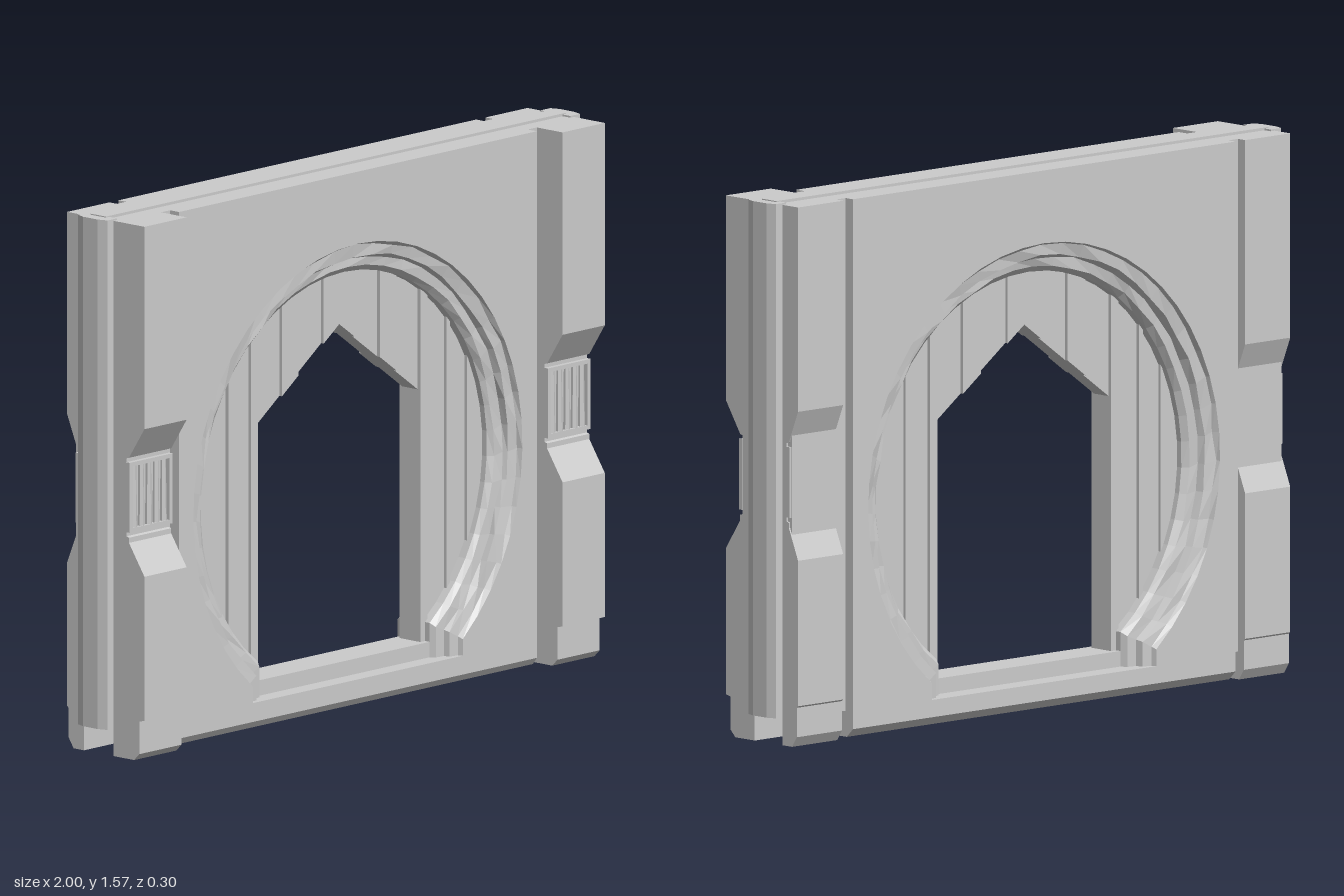
import * as THREE from 'three';

const TOP = 1.56, BASE = 0.08, CY = 0.66;

export function createModel() {
  const group = new THREE.Group();
  const mat = new THREE.MeshStandardMaterial({ color: 0xcccccc, flatShading: true });
  const openMat = new THREE.MeshStandardMaterial({ color: 0xcccccc, flatShading: true, side: THREE.DoubleSide });

  let seed = 7;
  const rand = () => (seed = (seed * 16807) % 2147483647) / 2147483647 - 0.5;

  const add = (name, geo, m = mat) => {
    const mesh = new THREE.Mesh(geo, m);
    mesh.name = name;
    group.add(mesh);
    return mesh;
  };
  const toShape = pts => new THREE.Shape(pts.map(p => new THREE.Vector2(p[0], p[1])));
  const box = (name, x0, x1, y0, y1, z0, z1) => add(name,
    new THREE.BoxGeometry(x1 - x0, y1 - y0, z1 - z0)
      .translate((x0 + x1) / 2, (y0 + y1) / 2, (z0 + z1) / 2));
  // outline in x, y, extruded from z0 to z1
  const slab = (name, pts, z0, z1) => add(name,
    new THREE.ExtrudeGeometry(toShape(pts), { depth: z1 - z0, bevelEnabled: false }).translate(0, 0, z0));
  // profile in z, y, extruded from x0 to x1
  const bar = (name, pts, x0, x1) => add(name,
    new THREE.ExtrudeGeometry(toShape(pts), { depth: x1 - x0, bevelEnabled: false })
      .rotateY(-Math.PI / 2).translate(x1, 0, 0));

  // round arch with short straight feet, running right foot to left foot
  const arch = (r, foot, n = 40) => {
    const a0 = -Math.acos(foot / r), pts = [[foot, BASE]];
    for (let i = 0; i <= n; i++) {
      const a = a0 + (Math.PI - 2 * a0) * i / n;
      pts.push([r * Math.cos(a), CY + r * Math.sin(a)]);
    }
    pts.push([-foot, BASE]);
    return pts;
  };
  const wall = (w, top, r, foot) =>
    [[w, BASE], [w, top], [-w, top], [-w, BASE], ...arch(r, foot).reverse()];

  // wall layers
  slab('wallCore', wall(0.965, TOP, 0.6, 0.36), -0.085, 0.03);
  slab('frontGrooveBed', wall(0.96, TOP, 0.69, 0.44), 0.03, 0.05);
  slab('backGrooveBed', wall(0.96, TOP, 0.69, 0.44), -0.12, -0.085);
  slab('frontPanel', wall(0.75, TOP, 0.69, 0.44), 0.05, 0.085);
  slab('backPanel', wall(0.75, TOP, 0.69, 0.44), -0.15, -0.12);
  bar('frontSkirt', [[0.03, 0.005], [0.07, 0.005], [0.085, 0.025], [0.085, BASE], [0.03, BASE]], -0.75, 0.75);
  bar('backSkirt', [[-0.085, 0.005], [-0.125, 0.005], [-0.15, 0.03], [-0.15, BASE], [-0.085, BASE]], -0.75, 0.75);
  box('topRidge', -0.965, 0.965, TOP - 0.01, 1.568, -0.06, 0);
  box('sill', -0.37, 0.37, BASE, 0.125, -0.085, 0.03);

  // stepped, chipped stone ring, lofted from the panel face in to the core
  const ring = (name, rows) => {
    const loops = rows.map(([r, foot, z], k) => arch(r, foot).map(([x, y], i, all) => {
      const chip = k > 0 && k < rows.length - 1 && i > 1 && i < all.length - 2;
      const s = 1 + (chip ? rand() * 0.014 : 0);
      return [x * s, CY + (y - CY) * (i === 0 || i === all.length - 1 ? 1 : s), z + (chip ? rand() * 0.008 : 0)];
    }));
    const pos = [];
    for (let k = 0; k + 1 < loops.length; k++) {
      for (let i = 0; i + 1 < loops[k].length; i++) {
        const a = loops[k][i], b = loops[k][i + 1], c = loops[k + 1][i + 1], d = loops[k + 1][i];
        pos.push(...a, ...b, ...c, ...a, ...c, ...d);
      }
    }
    const geo = new THREE.BufferGeometry();
    geo.setAttribute('position', new THREE.Float32BufferAttribute(pos, 3));
    geo.computeVertexNormals();
    add(name, geo, openMat);
  };
  ring('frontRing', [[0.69, 0.44, 0.085], [0.682, 0.435, 0.07], [0.65, 0.405, 0.066],
    [0.643, 0.4, 0.048], [0.615, 0.37, 0.045], [0.6, 0.36, 0.03]]);
  ring('backRing', [[0.69, 0.44, -0.15], [0.682, 0.435, -0.135], [0.65, 0.405, -0.13],
    [0.643, 0.4, -0.107], [0.615, 0.37, -0.104], [0.6, 0.36, -0.085]]);

  // upright planks filling the arch around the pointed doorway
  const edges = [0, 0.065, 0.17, 0.24, 0.34, 0.37, 0.45, 0.465, 0.535, 0.604];
  const half = x => Math.sqrt(Math.max(0, 0.605 ** 2 - x * x));
  for (const s of [1, -1]) {
    for (let i = 0; i + 1 < edges.length; i++) {
      const x0 = edges[i], x1 = edges[i + 1], pts = [];
      const bottom = x => x1 <= 0.34 ? 1.105 - 0.245 * x / 0.34 : x1 <= 0.37 ? 0.1 : CY - half(x);
      for (let j = 0; j <= 4; j++) {
        const x = x0 + (x1 - x0) * j / 4;
        pts.push([s * x, bottom(x)]);
      }
      for (let j = 4; j >= 0; j--) {
        const x = x0 + (x1 - x0) * j / 4;
        pts.push([s * x, CY + half(x)]);
      }
      const t = i % 2 ? 0.03 : 0.04;
      slab('plank', pts, -0.0275 - t, -0.0275 + t);
    }
  }

  // pillars on both faces; profile points are z, y
  const frontPillar = [[0.03, 0], [0.11, 0], [0.13, 0.02], [0.13, 0.115], [0.15, 0.12], [0.15, 0.54],
    [0.09, 0.63], [0.09, 0.645], [0.08, 0.648], [0.08, 0.875], [0.09, 0.878], [0.15, 0.97], [0.15, TOP], [0.03, TOP]];
  const backPillar = [[-0.085, 0], [-0.125, 0], [-0.145, 0.03], [-0.145, 0.115], [-0.15, 0.12], [-0.15, 0.54],
    [-0.112, 0.63], [-0.112, 0.645], [-0.103, 0.648], [-0.103, 0.875], [-0.112, 0.878], [-0.15, 0.97],
    [-0.15, TOP], [-0.085, TOP]];

  // fluted band around the pillar waist
  const band = (cx, z, dir) => {
    const zs = d => [z, z + dir * d].sort((a, b) => a - b);
    const w = 0.09, [a, b] = zs(0.014);
    box('bandRail', cx - w, cx + w, 0.66, 0.672, a, b);
    box('bandRail', cx - w, cx + w, 0.852, 0.864, a, b);
    for (const s of [-1, 1]) box('bandStile', cx + s * 0.083 - 0.007, cx + s * 0.083 + 0.007, 0.672, 0.852, a, b);
    for (let i = 0; i < 5; i++) {
      const rib = new THREE.CylinderGeometry(0.009, 0.012, 0.182, 6);
      add('bandRib', rib).position.set(cx + (i - 2) * 0.031, 0.762, z + dir * 0.002);
    }
  };

  // side tongue cross-section in x, z
  const tongue = [[0.95, 0.03], [0.99, 0.03], [1, 0], [1, -0.057], [0.99, -0.085], [0.95, -0.085]];
  for (const s of [1, -1]) {
    const x0 = s > 0 ? 0.788 : -0.965, x1 = s > 0 ? 0.965 : -0.788;
    bar('frontPillar', frontPillar, x0, x1);
    bar('backPillar', backPillar, x0, x1);
    band(s * 0.8765, 0.08, 1);
    band(s * 0.8765, -0.103, -1);
    const geo = new THREE.ExtrudeGeometry(toShape(tongue.map(([x, z]) => [s * x, -z])),
      { depth: 1.565 - BASE, bevelEnabled: false });
    add('sideTongue', geo.rotateX(-Math.PI / 2).translate(0, BASE, 0));
  }
  return group;
}
